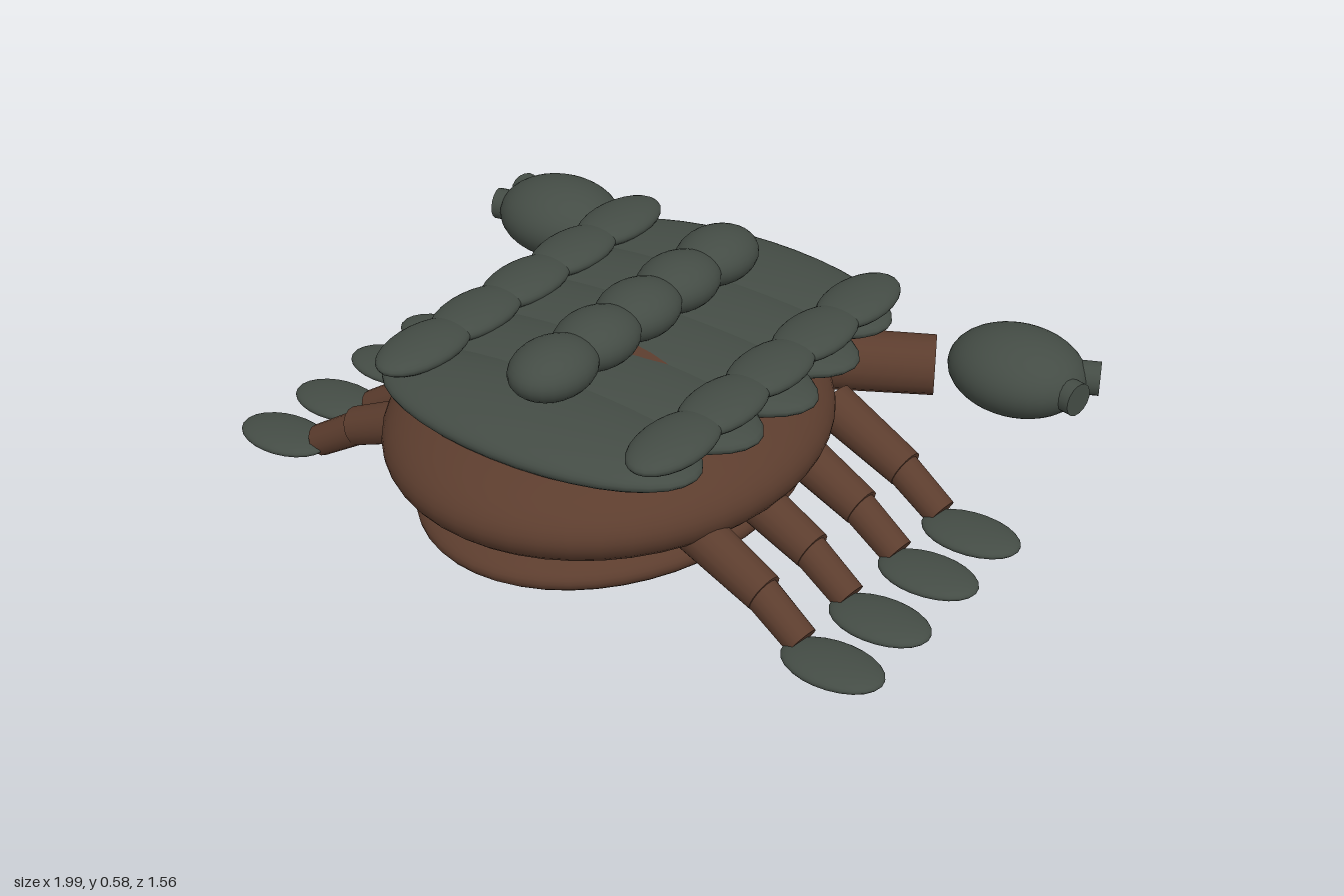
import * as THREE from 'three';

const skin = new THREE.MeshStandardMaterial({ color: 0x5c3d2e });
skin.name = 'brown skin';
const shell = new THREE.MeshStandardMaterial({ color: 0x444c45 });
shell.name = 'grey green shell';

// Ellipsoid from centre and radii
function ellipsoid(name, material, center, radii, detail = 24) {
  const mesh = new THREE.Mesh(new THREE.SphereGeometry(1, detail, Math.round(detail * 0.7)), material);
  mesh.name = name;
  mesh.position.set(...center);
  mesh.scale.set(...radii);
  return mesh;
}

// Cylinder running from one point to another
function rod(name, material, from, to, r0, r1) {
  const a = new THREE.Vector3(...from), b = new THREE.Vector3(...to);
  const dir = b.clone().sub(a);
  const mesh = new THREE.Mesh(new THREE.CylinderGeometry(r1, r0, dir.length(), 16), material);
  mesh.name = name;
  mesh.position.copy(a).add(b).multiplyScalar(0.5);
  mesh.quaternion.setFromUnitVectors(new THREE.Vector3(0, 1, 0), dir.normalize());
  return mesh;
}

export function createModel() {
  const model = new THREE.Group();
  model.name = 'crab';

  // Body and belly
  model.add(ellipsoid('body', skin, [0, 0.27, 0.15], [0.55, 0.19, 0.625], 48));
  model.add(ellipsoid('belly', skin, [0, 0.11, 0.125], [0.46, 0.11, 0.595], 48));

  // Overlapping plates across the back
  [0.47, 0.5, 0.52, 0.505, 0.47].forEach((rx, i) => {
    model.add(ellipsoid('backPlate', shell, [0, 0.405, 0.45 - i * 0.2175], [rx, 0.06, 0.2], 36));
  });

  // Central row of knobs
  for (let i = 0; i < 5; i++) {
    model.add(ellipsoid('spineKnob', shell, [0, 0.515, 0.385 - i * 0.177], [0.103, 0.07, 0.13]));
  }

  for (const s of [1, -1]) {
    const side = new THREE.Group();
    side.name = s > 0 ? 'leftSide' : 'rightSide';

    // Row of flat scales along the shell edge
    for (let i = 0; i < 5; i++) {
      side.add(ellipsoid('edgeScale', shell, [s * 0.383, 0.46, 0.42 - i * 0.208], [0.088, 0.036, 0.158]));
    }

    // Walking legs
    for (const z of [0.455, 0.24, 0.01, -0.205]) {
      const leg = new THREE.Group();
      leg.name = 'leg';
      leg.add(rod('upperLeg', skin, [s * 0.4, 0.222, z - 0.07], [s * 0.64, 0.125, z - 0.045], 0.062, 0.052));
      leg.add(rod('lowerLeg', skin, [s * 0.59, 0.15, z - 0.05], [s * 0.76, 0.045, z - 0.028], 0.047, 0.043));
      leg.add(ellipsoid('foot', shell, [s * 0.863, 0.038, z], [0.135, 0.026, 0.087]));
      side.add(leg);
    }

    // Rear arm with a rounded claw and two stubs
    const arm = new THREE.Group();
    arm.name = 'clawArm';
    arm.add(rod('arm', skin, [s * 0.25, 0.27, -0.365], [s * 0.557, 0.27, -0.53], 0.083, 0.08));
    arm.add(ellipsoid('claw', shell, [s * 0.748, 0.275, -0.625], [0.188, 0.11, 0.157], 32));
    arm.add(rod('clawStub', shell, [s * 0.84, 0.275, -0.663], [s * 0.946, 0.275, -0.71], 0.045, 0.045));
    arm.add(rod('clawStub', shell, [s * 0.84, 0.275, -0.607], [s * 0.948, 0.275, -0.583], 0.045, 0.045));
    side.add(arm);
    model.add(side);
  }
  return model;
}
